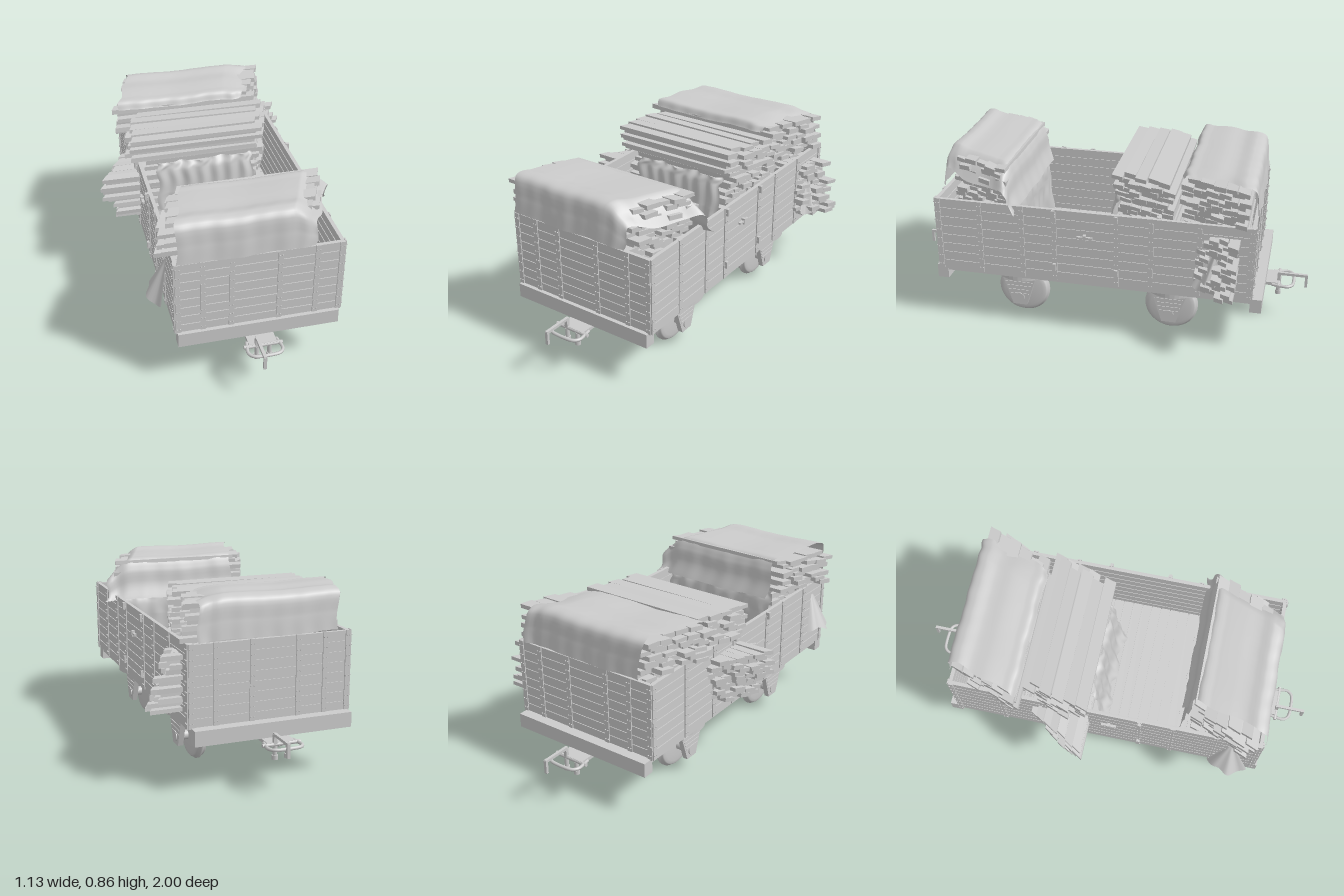
import * as THREE from 'three';
import { mergeGeometries } from 'three/addons/utils/BufferGeometryUtils.js';
import { ParametricGeometry } from 'three/addons/geometries/ParametricGeometry.js';

const CX = 0.027, CZ = 0.015;          // centre of the wagon body
const W = 0.77, L = 1.53;              // body width and length
const Y0 = 0.285, Y1 = 0.66;           // wall bottom and top

const mat = new THREE.MeshStandardMaterial({ color: 0xcccccc });
const thin = new THREE.MeshStandardMaterial({ color: 0xcccccc, side: THREE.DoubleSide });

let seed = 7;
const rand = (a, b) => {
  seed = (seed * 16807) % 2147483647;
  return a + (b - a) * seed / 2147483647;
};

const boxGeo = (w, h, d, x, y, z) => new THREE.BoxGeometry(w, h, d).translate(x, y, z);

function add(parent, name, geo, material = mat) {
  const mesh = new THREE.Mesh(Array.isArray(geo) ? mergeGeometries(geo) : geo, material);
  mesh.name = name;
  parent.add(mesh);
  return mesh;
}

// One wall in its own frame: runs along x, outside faces +z, z = 0 is the outer plank face
function wall(name, length, posts) {
  const g = new THREE.Group();
  g.name = name;
  const rows = 8, step = (Y1 - Y0) / rows;
  const planks = [boxGeo(length - 0.02, Y1 - Y0 - 0.012, 0.01, 0, (Y0 + Y1) / 2, -0.009)];
  for (let i = 0; i < rows; i++)
    planks.push(boxGeo(length, step - 0.006, 0.018, 0, Y0 + (i + 0.5) * step, -0.009));
  add(g, 'wallPlanks', planks);

  const strips = [], bolts = [];
  for (const x of [...posts, -length / 2 + 0.013, length / 2 - 0.013]) {
    strips.push(boxGeo(0.024, Y1 - Y0, 0.006, x, (Y0 + Y1) / 2, 0.002));
    for (let i = 0; i < rows; i++)
      for (const s of [-1, 1])
        bolts.push(new THREE.CylinderGeometry(0.003, 0.0035, 0.006, 6).rotateX(Math.PI / 2)
          .translate(x + s * 0.007, Y0 + (i + 0.5) * step, 0.007));
  }
  add(g, 'wallPosts', strips);
  add(g, 'wallBolts', bolts);
  return g;
}

// Hinges and latch of the side door
function doorFittings(g, hinges) {
  const parts = [];
  for (const x of hinges)
    for (const y of [0.36, 0.64])
      parts.push(boxGeo(0.016, 0.035, 0.016, x, y, 0.01));
  const mid = (hinges[0] + hinges[1]) / 2;
  parts.push(boxGeo(0.075, 0.01, 0.012, mid, 0.53, 0.008), boxGeo(0.014, 0.03, 0.018, mid, 0.53, 0.009));
  add(g, 'doorFittings', parts);
}

// Stack of loose boards along x, sheared so that x slides as z grows; layers interlock
function pile(parent, name, { x, z, y, shear, lean = 0, wide = 0.06 }) {
  const boards = [], zc = (z[0] + z[1]) / 2, h = 0.024;
  const layers = Math.round((y[1] - y[0]) / h), n = Math.round((z[1] - z[0]) / wide);
  const skew = new THREE.Matrix4().set(1, 0, shear, 0, 0, 1, 0, 0, 0, 0, 1, 0, 0, 0, 0, 1);
  for (let j = 0; j < layers; j++) {
    const yy = y[0] + (j + 0.5) * h, slide = lean * (j / layers - 0.5);
    const w = (z[1] - z[0]) / (n + 0.5), start = z[0] + (j % 2) * w * 0.5 - zc;
    for (let i = 0; i < n; i++) {
      const a = x[0] + slide + rand(-0.03, 0.03), b = x[1] + slide + rand(-0.03, 0.03);
      boards.push(new THREE.BoxGeometry(b - a, h * rand(0.75, 1), w * rand(0.88, 1.08))
        .rotateX(rand(-0.1, 0.1)).rotateZ(rand(-0.012, 0.012))
        .translate((a + b) / 2, rand(-0.003, 0.003), start + (i + 0.5) * w + rand(-0.006, 0.006))
        .applyMatrix4(skew).translate(0, yy, zc));
    }
  }
  add(parent, name, boards);
}

// Tarpaulin: a z-y profile swept along x. Each end edge has its own shear; the +x end droops
function tarp(parent, name, profile, { x, shear, zc, droop, crumple = 0.003 }) {
  const curve = new THREE.CatmullRomCurve3(profile.map(([z, y]) => new THREE.Vector3(0, y, z)), false, 'centripetal');
  const p = new THREE.Vector3();
  const geo = new ParametricGeometry((u, v, out) => {
    curve.getPoint(v, p);
    const end = Math.max(0, (u - 0.82) / 0.18), hem = Math.abs(v - 0.5) * 2;
    const left = x[0] + shear[0] * (p.z - zc), right = x[1] + shear[1] * (p.z - zc);
    out.set(
      left + (right - left) * u + Math.sin(v * 19) * 0.008 * (1 - u + end),
      p.y + Math.sin(u * 9 + 1) * 0.003 - droop * end ** 1.5 * (1 - hem * hem),
      p.z + Math.sin(u * 17 + v * 5) * crumple * hem + Math.sin(u * 43) * (0.005 * end + crumple * 0.4));
  }, 48, 40);
  add(parent, name, geo, thin);
}

// Loose triangular scrap of sheet on a side wall, hanging from an apex and drifting in z
function scrap(parent, name, side, x, z, { width, drift, top, low, flare }) {
  add(parent, name, new ParametricGeometry((u, v, out) => {
    out.set(x + side * (flare * v * (0.4 + 0.6 * Math.sin(u * 3.1)) + 0.008 * Math.sin(u * 14) * v),
      top + (low - top) * v + 0.02 * Math.sin(u * 6) * v,
      z + drift * v + (u - 0.5) * width * (0.1 + 0.9 * v));
  }, 16, 12), thin);
}

function wheelset(z) {
  const g = new THREE.Group();
  g.name = 'wheelset';
  g.position.set(0.034, 0.131, z);
  // Domed wheel with a narrow central flange
  const half = [[0.001, 0.034], [0.03, 0.033], [0.07, 0.031], [0.1, 0.028], [0.115, 0.025], [0.121, 0.02], [0.122, 0.007], [0.131, 0.005]];
  const profile = [...half.map(([r, y]) => [r, -y]), ...half.slice().reverse()].map(([r, y]) => new THREE.Vector2(r, y));
  const guard = new THREE.Shape([[-0.095, 0.13], [-0.035, -0.055], [0.035, -0.055], [0.095, 0.13]].map(([a, b]) => new THREE.Vector2(a, b)));
  for (const s of [-1, 1]) {
    const x = s * 0.3 - 0.009;
    add(g, 'wheel', new THREE.LatheGeometry(profile, 40).rotateZ(Math.PI / 2).translate(s * 0.213, 0, 0));
    add(g, 'axleGuard', new THREE.ExtrudeGeometry(guard, { depth: 0.026, bevelEnabled: false })
      .rotateY(Math.PI / 2).translate(x - 0.013, 0, 0));
    const ribs = [];
    for (let i = 0; i < 6; i++) ribs.push(boxGeo(0.032, 0.006, 0.17 - i * 0.015, x, 0.115 - i * 0.022, 0));
    add(g, 'guardRibs', ribs);
    add(g, 'axleBox', new THREE.CylinderGeometry(0.026, 0.026, 0.036, 20).rotateZ(Math.PI / 2).translate(x, -0.015, 0));
  }
  add(g, 'axle', new THREE.CylinderGeometry(0.023, 0.023, 0.61, 20).rotateZ(Math.PI / 2).translate(0, -0.015, 0));
  // Oval frame with slats under the floor
  const oval = new THREE.Shape().absellipse(0, 0, 0.37, 0.23, 0, Math.PI * 2);
  oval.holes.push(new THREE.Path().absellipse(0, 0, 0.352, 0.212, 0, Math.PI * 2));
  add(g, 'ovalFrame', new THREE.ExtrudeGeometry(oval, { depth: 0.022, bevelEnabled: false, curveSegments: 32 })
    .rotateX(Math.PI / 2).translate(-0.007, 0.134, -0.012));
  const slats = [];
  for (let i = -4; i <= 4; i++) {
    const len = 2 * 0.355 * Math.sqrt(1 - (i * 0.047 / 0.215) ** 2);
    slats.push(boxGeo(len, 0.008, 0.034, -0.007, 0.128, i * 0.047 - 0.012));
  }
  add(g, 'underSlats', slats);
  return g;
}

// Coupling, built for the front end around x = 0
function coupling() {
  const g = new THREE.Group();
  g.name = 'coupling';
  const loop = [[-0.07, 0.83], [-0.08, 0.9], [-0.05, 0.93], [0.05, 0.93], [0.08, 0.9], [0.07, 0.83]];
  add(g, 'drawPlate', boxGeo(0.13, 0.016, 0.1, 0, 0.21, 0.815));
  add(g, 'shackle', new THREE.TubeGeometry(new THREE.CatmullRomCurve3(
    loop.map(([x, z]) => new THREE.Vector3(x, 0.21, z)), false, 'catmullrom', 0.4), 40, 0.008, 8));
  add(g, 'crossPin', new THREE.CylinderGeometry(0.009, 0.009, 0.18, 10).rotateZ(Math.PI / 2).translate(0, 0.21, 0.86));
  for (const x of [-0.03, 0.03]) {
    add(g, 'pendant', new THREE.CylinderGeometry(0.01, 0.01, 0.05, 10).translate(x, 0.18, 0.86));
    add(g, 'pendantEnd', new THREE.CylinderGeometry(0.014, 0.014, 0.02, 10).translate(x, 0.152, 0.86));
  }
  add(g, 'hook', [boxGeo(0.016, 0.05, 0.016, -0.03, 0.232, 0.86), boxGeo(0.014, 0.013, 0.145, -0.03, 0.255, 0.925),
    boxGeo(0.014, 0.065, 0.013, -0.03, 0.226, 0.993)]);
  return g;
}

export function createModel() {
  const model = new THREE.Group();
  model.name = 'openWagon';

  // Underframe, buffer beams and plank floor
  add(model, 'underframe', boxGeo(W - 0.03, 0.022, L, CX, 0.275, CZ));
  for (const s of [-1, 1]) add(model, 'bufferBeam', boxGeo(0.75, 0.07, 0.055, 0.025, 0.255, s * 0.772));
  const floor = [];
  for (let i = 0; i < 30; i++) floor.push(boxGeo(W - 0.03, 0.014, 0.046, CX, 0.294, CZ + (i - 14.5) * 0.05));
  add(model, 'floorPlanks', floor);

  // Walls
  const endPosts = [-0.26, -0.13, 0.09, 0.26], sidePosts = [0.545, 0.335, 0.175, -0.125, -0.29, -0.515];
  for (const s of [1, -1]) {
    const end = wall('endWall', W, endPosts.map(x => s * x));
    end.position.set(CX, 0, CZ + s * L / 2);
    end.rotation.y = s > 0 ? 0 : Math.PI;
    const side = wall('sideWall', L, sidePosts.map(z => -s * z));
    side.position.set(CX + s * W / 2, 0, CZ);
    side.rotation.y = s * Math.PI / 2;
    doorFittings(side, [-s * 0.175, s * 0.125]);
    model.add(end, side);
  }

  // Running gear and couplings
  model.add(wheelset(0.4), wheelset(-0.355));
  for (const s of [0, 1]) {
    const c = coupling();
    c.position.x = 0.025;
    c.rotation.y = s * Math.PI;
    model.add(c);
  }

  // Board stacks: loads below the wall top, then the wider tops
  pile(model, 'frontLoad', { x: [-0.24, 0.3], z: [0.43, 0.73], y: [0.3, 0.66], shear: -0.3 });
  pile(model, 'frontStack', { x: [-0.35, 0.33], z: [0.42, 0.74], y: [0.66, 0.83], shear: -0.4 });
  pile(model, 'middleLoad', { x: [-0.26, 0.3], z: [-0.36, -0.08], y: [0.3, 0.66], shear: -0.3 });
  pile(model, 'middleStack', { x: [-0.37, 0.3], z: [-0.37, -0.06], y: [0.66, 0.815], shear: -0.35 });
  pile(model, 'rearLoad', { x: [-0.26, 0.3], z: [-0.7, -0.4], y: [0.3, 0.66], shear: -0.3 });
  pile(model, 'rearStack', { x: [-0.35, 0.35], z: [-0.72, -0.39], y: [0.66, 0.835], shear: -0.36 });

  // Boards bursting through the sides
  pile(model, 'leftBurst', { x: [0.1, 0.47], z: [-0.68, -0.48], y: [0.34, 0.6], shear: -0.5, lean: -0.09, wide: 0.045 });
  pile(model, 'rightBurst', { x: [-0.45, -0.1], z: [-0.33, -0.06], y: [0.36, 0.61], shear: -0.65, lean: -0.08, wide: 0.045 });

  // Tarpaulins
  tarp(model, 'frontTarp', [[0.79, 0.665], [0.782, 0.74], [0.765, 0.835], [0.725, 0.853], [0.66, 0.842], [0.58, 0.84],
    [0.5, 0.836], [0.44, 0.83], [0.412, 0.78], [0.4, 0.7], [0.375, 0.63]],
  { x: [-0.295, 0.365], shear: [-0.28, -0.46], zc: 0.59, droop: 0.11 });
  tarp(model, 'rearTarp', [[-0.757, 0.665], [-0.748, 0.74], [-0.732, 0.83], [-0.69, 0.85], [-0.62, 0.842], [-0.54, 0.846],
    [-0.46, 0.84], [-0.41, 0.835], [-0.39, 0.8]],
  { x: [-0.35, 0.31], shear: [-0.3, -0.3], zc: -0.56, droop: 0.02 });
  tarp(model, 'middleInnerTarp', [[-0.07, 0.655], [-0.05, 0.62], [-0.035, 0.5], [-0.02, 0.38], [0.005, 0.31]],
    { x: [-0.27, 0.22], shear: [0, 0], zc: 0, droop: 0, crumple: 0.012 });
  tarp(model, 'frontInnerTarp', [[0.42, 0.66], [0.4, 0.6], [0.395, 0.48], [0.385, 0.31]],
    { x: [-0.25, 0.38], shear: [0, 0], zc: 0.4, droop: 0, crumple: 0.008 });
  scrap(model, 'leftScrap', 1, 0.418, -0.6, { width: 0.13, drift: 0.06, top: 0.6, low: 0.37, flare: 0.08 });
  scrap(model, 'rightScrap', -1, -0.366, 0.64, { width: 0.2, drift: 0, top: 0.6, low: 0.42, flare: 0.09 });
  return model;
}
